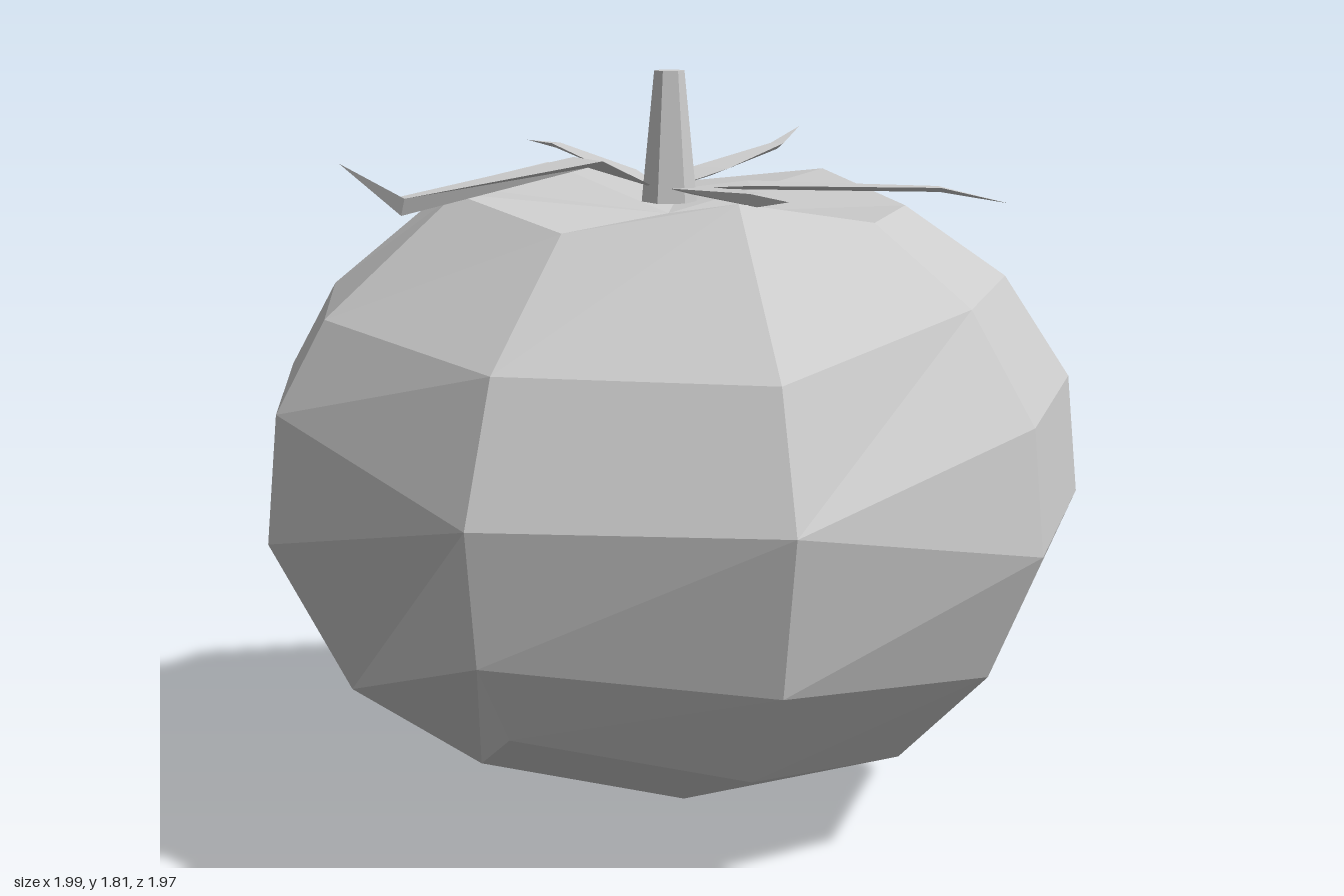
import * as THREE from 'three';

// Faceted skin over rings of points; degenerate triangles are dropped
function loft(rings) {
  const pos = [];
  const tri = (a, b, c) => {
    const n = b.clone().sub(a).cross(c.clone().sub(a));
    if (n.length() > 1e-6) for (const p of [a, b, c]) pos.push(p.x, p.y, p.z);
  };
  for (let i = 0; i < rings.length - 1; i++) {
    const n = rings[i].length;
    for (let j = 0; j < n; j++) {
      const k = (j + 1) % n;
      const a = rings[i][j], b = rings[i][k], c = rings[i + 1][k], d = rings[i + 1][j];
      tri(a, b, c);
      tri(a, c, d);
    }
  }
  const g = new THREE.BufferGeometry();
  g.setAttribute('position', new THREE.Float32BufferAttribute(pos, 3));
  g.computeVertexNormals();
  return g;
}

const V = (x, y, z) => new THREE.Vector3(x, y, z);

// Body radius as a function of height
const PROFILE = [[0, 0], [0.15, 0.48], [0.23, 0.65], [0.35, 0.79], [0.47, 0.885], [0.6, 0.97],
  [0.68, 1.005], [0.78, 1.015], [0.91, 1.015], [1.06, 0.985], [1.27, 0.865], [1.55, 0.55]];
function radiusAt(y) {
  let i = 1;
  while (i < PROFILE.length - 1 && PROFILE[i][0] < y) i++;
  const [y0, r0] = PROFILE[i - 1], [y1, r1] = PROFILE[i];
  return r0 + (r1 - r0) * (y - y0) / (y1 - y0);
}

// Ring heights down each of the nine columns, starting at the back
const COLUMNS = [
  [1.27, 1.06, 0.76, 0.46, 0.23],
  [1.22, 0.91, 0.91, 0.62, 0.34],
  [1.27, 1.06, 0.68, 0.35, 0.15],
  [1.31, 1.06, 0.77, 0.34, 0.18],
  [1.31, 1.06, 0.77, 0.47, 0.235],
  [1.21, 0.91, 0.91, 0.54, 0.28],
  [1.22, 0.91, 0.91, 0.6, 0.4],
  [1.27, 1.06, 0.76, 0.39, 0.16],
  [1.27, 1.06, 0.76, 0.43, 0.2],
];
// Rim around the sunken top
const RIM = [[0, 1.55, -0.52], [0.36, 1.49, -0.41], [0.54, 1.54, -0.07], [0.46, 1.49, 0.35],
  [0.2, 1.485, 0.55], [-0.17, 1.55, 0.53], [-0.49, 1.485, 0.31], [-0.53, 1.54, -0.08], [-0.35, 1.52, -0.41]];

function bodyGeometry() {
  const rings = [COLUMNS.map(() => V(0, 1.47, 0.02)), RIM.map(p => V(...p))];
  for (let level = 0; level < 5; level++) {
    rings.push(COLUMNS.map((col, k) => {
      const t = k * Math.PI * 2 / 9, y = col[level], r = radiusAt(y);
      return V(r * Math.sin(t), y, 0.025 - r * Math.cos(t));
    }));
  }
  rings.push(COLUMNS.map(() => V(0.02, 0, 0.06)));
  return loft(rings);
}

// Pointed leaf with a keel below; stations are [x, y, z, half width, keel depth]
function leafGeometry(stations) {
  const first = stations[0], last = stations[stations.length - 1];
  const dir = V(last[0] - first[0], 0, last[2] - first[2]).normalize();
  const right = dir.clone().cross(V(0, 1, 0));
  return loft(stations.map(([x, y, z, w, d]) => {
    const p = V(x, y, z);
    return [p.clone().addScaledVector(right, -w), p.clone().addScaledVector(right, w), V(x, y - d, z)];
  }));
}

const LEAVES = [
  [[0, 1.53, 0, 0, 0], [-0.02, 1.56, -0.14, 0.04, 0.015], [-0.05, 1.61, -0.4, 0.014, 0.012], [-0.06, 1.61, -0.52, 0, 0]],
  [[0.02, 1.53, 0.01, 0, 0], [0.2, 1.56, -0.085, 0.05, 0.02], [0.54, 1.59, -0.26, 0.018, 0.015], [0.66, 1.625, -0.32, 0, 0]],
  [[0.02, 1.53, 0.04, 0, 0], [0.17, 1.54, 0.115, 0.065, 0.015], [0.55, 1.53, 0.37, 0.022, 0.012], [0.69, 1.49, 0.46, 0, 0]],
  [[-0.01, 1.53, 0.05, 0, 0], [-0.06, 1.55, 0.2, 0.05, 0.015], [-0.15, 1.575, 0.57, 0.018, 0.03], [-0.17, 1.57, 0.71, 0, 0]],
  [[-0.03, 1.53, 0.02, 0, 0], [-0.22, 1.61, 0.005, 0.065, 0.02], [-0.72, 1.55, 0.005, 0.018, 0.04], [-0.87, 1.635, 0, 0, 0]],
];

export function createModel() {
  const model = new THREE.Group();
  const grey = new THREE.MeshStandardMaterial({ color: 0xcccccc });
  grey.name = 'plain grey';
  const add = (name, geometry) => {
    const mesh = new THREE.Mesh(geometry, grey);
    mesh.name = name;
    model.add(mesh);
    return mesh;
  };

  add('fruitBody', bodyGeometry());

  // Tapered six-sided stem
  const stem = new THREE.CylinderGeometry(0.036, 0.066, 0.31, 6).toNonIndexed();
  stem.computeVertexNormals();
  add('stem', stem).position.set(-0.005, 1.655, 0.03);

  LEAVES.forEach((s, i) => add('leaf' + (i + 1), leafGeometry(s)));
  return model;
}
